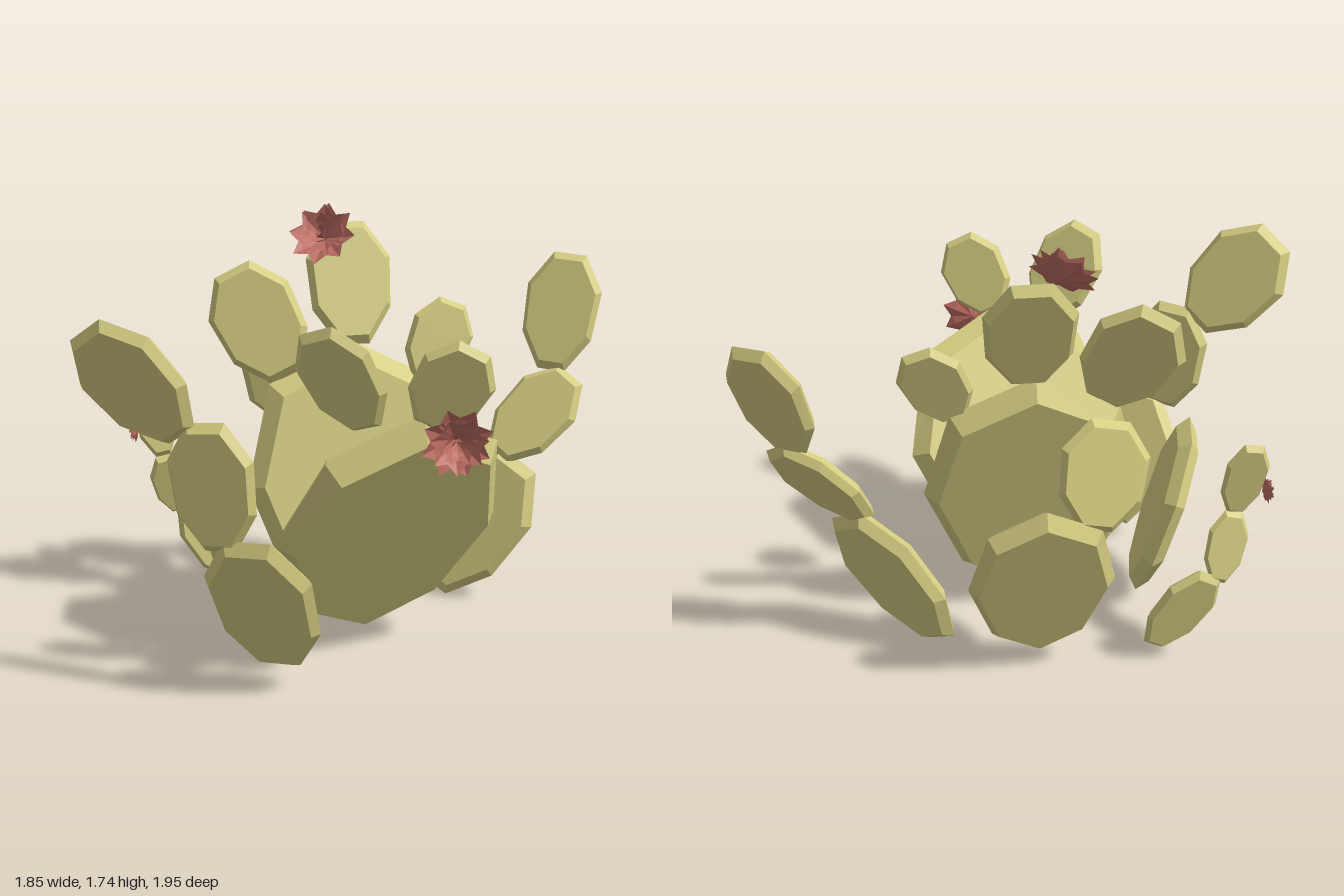
import * as THREE from 'three';

const padMat = new THREE.MeshStandardMaterial({ color: 0xd6ce82, flatShading: true });
padMat.name = 'paleOlive';
const petalMat = new THREE.MeshStandardMaterial({ color: 0xbd6d62, flatShading: true, side: THREE.DoubleSide });
petalMat.name = 'dustyRed';

const rad = THREE.MathUtils.degToRad;

// Eight-sided pad with a bevelled rim, slightly narrower at the base; wider pads are thicker.
// flat: flat edges at top and bottom, otherwise corners there.
function padGeometry(w, h, flat) {
  const profile = [[0, -1], [0.87, -1], [1, 0], [0.87, 1], [0, 1]].map(([r, y]) => new THREE.Vector2(r, y));
  const g = new THREE.LatheGeometry(profile, 8, flat ? Math.PI / 8 : 0);
  g.rotateX(Math.PI / 2);
  const grow = flat ? 1.07 : 1.03;
  g.scale(w * grow, h * grow, 0.01 + 0.135 * w);
  const p = g.attributes.position;
  for (let i = 0; i < p.count; i++) p.setX(i, p.getX(i) * (1 + 0.09 * p.getY(i) / h));
  g.computeVertexNormals();
  return g;
}

// Pad with half width w and half height h; facing, lean and roll are in degrees.
function makePad(name, w, h, facing, lean, roll, flat = true) {
  const pad = new THREE.Mesh(padGeometry(w, h, flat), padMat);
  pad.name = name;
  pad.rotation.set(rad(lean), rad(facing), rad(roll), 'YXZ');
  pad.userData = { w, h, facing };
  return pad;
}

// Pad rising from the ground.
function rootPad(cactus, name, centre, ...shape) {
  const pad = makePad(name, ...shape);
  pad.position.set(...centre);
  cactus.add(pad);
  return pad;
}

// Pad growing from its parent's rim, at an angle clockwise from the parent's tip.
// It faces as its parent does, apart from an extra turn.
function growPad(parent, name, angle, w, h, lean, roll, turn = 0, depth = 0) {
  const from = parent.userData;
  const pad = makePad(name, w, h, from.facing + turn, lean, roll);
  const joint = new THREE.Vector3(
    0.98 * from.w * Math.sin(rad(angle)), 0.98 * from.h * Math.cos(rad(angle)), depth);
  joint.applyEuler(parent.rotation).add(parent.position);
  pad.position.set(0, h, 0).applyEuler(pad.rotation).add(joint);
  parent.parent.add(pad);
  return pad;
}

// Folded, pointed petal running from the origin along +z.
function petalGeometry() {
  const g = new THREE.BufferGeometry();
  g.setAttribute('position', new THREE.Float32BufferAttribute([
    0, 0, 0, 0.32, 0.1, 0.6, 0, 0, 0.62, -0.32, 0.1, 0.6, 0, 0.08, 1,
  ], 3));
  g.setIndex([0, 2, 1, 0, 3, 2, 2, 4, 1, 2, 3, 4]);
  g.computeVertexNormals();
  return g;
}

// Rosette of four petal rings, each smaller and steeper, opening along the given axis.
function makeFlower(name, centre, axis, radius) {
  const flower = new THREE.Group();
  flower.name = name;
  const petal = petalGeometry();
  for (let ring = 0; ring < 4; ring++) {
    const count = 8 - ring;
    for (let i = 0; i < count; i++) {
      const m = new THREE.Mesh(petal, petalMat);
      m.name = 'petal';
      m.rotation.set(-rad(12 + 19 * ring), ((i + ring * 0.5) / count) * Math.PI * 2, 0, 'YXZ');
      m.scale.setScalar(1 - 0.05 * ring * ring);
      flower.add(m);
    }
  }
  flower.scale.setScalar(radius);
  flower.position.set(...centre);
  flower.quaternion.setFromUnitVectors(new THREE.Vector3(0, 1, 0), new THREE.Vector3(...axis).normalize());
  return flower;
}

export function createModel() {
  const cactus = new THREE.Group();
  cactus.name = 'cactus';

  // Large front pad with two small ones on its upper edge
  const front = rootPad(cactus, 'frontLargePad', [0.33, 0.59, 0.275], 0.46, 0.58, 44, 29, 0, false);
  growPad(front, 'frontUpperLeftPad', -24, 0.15, 0.22, 21, 20, -44, -0.06);
  growPad(front, 'frontUpperRightPad', 1, 0.14, 0.18, 12, -28, -30, 0.01);

  // Large centre pad with three on its upper edge
  const centre = rootPad(cactus, 'centreLargePad', [0.06, 0.625, -0.12], 0.435, 0.575, 32, -14, 0, false);
  growPad(centre, 'crownPad', 4, 0.175, 0.26, -20, 0);
  growPad(centre, 'centreSidePad', -38, 0.18, 0.25, -12, 28, -16, 0.01);
  growPad(centre, 'centreSmallPad', 47, 0.13, 0.185, -14, -22, -4, 0.02);

  // Back pair and lone side pad
  const back = rootPad(cactus, 'backPad', [-0.175, 0.47, -0.53], 0.28, 0.42, 34, -19, 0, false);
  growPad(back, 'backUpperPad', -44, 0.165, 0.215, 17, 10);
  rootPad(cactus, 'sidePad', [-0.37, 0.44, 0.25], 0.25, 0.39, -67, 16, 0);

  // Far chain
  const far = rootPad(cactus, 'farChainLowerPad', [0.475, 0.33, -0.56], 0.21, 0.345, -6, -16, -29);
  const farMiddle = growPad(far, 'farChainMiddlePad', -27, 0.15, 0.24, -28, -36, 6, 0.02);
  growPad(farMiddle, 'farChainUpperPad', -35, 0.16, 0.26, -18, -4);

  // Near chain
  const near = rootPad(cactus, 'nearChainLowerPad', [-0.02, 0.385, 0.69], 0.21, 0.32, 2, 22, 4);
  const nearMiddle = growPad(near, 'nearChainMiddlePad', -33, 0.165, 0.25, 2, 5);
  growPad(nearMiddle, 'nearChainUpperPad', -38, 0.19, 0.26, 18, 36, -2, -0.01);

  // Small chain
  const small = rootPad(cactus, 'smallChainLowerPad', [-0.625, 0.255, -0.18], 0.11, 0.215, 34, -10, 30);
  const smallMiddle = growPad(small, 'smallChainMiddlePad', -28, 0.08, 0.15, 14, 14);
  growPad(smallMiddle, 'smallChainUpperPad', 0, 0.085, 0.165, -8, 9);

  // Flowers
  cactus.add(
    makeFlower('crownFlower', [-0.115, 1.61, -0.24], [0, 0.62, 0.78], 0.148),
    makeFlower('frontFlower', [0.64, 1.04, 0.47], [0.45, -0.08, 0.88], 0.142),
    makeFlower('smallFlower', [-0.875, 0.78, 0], [-0.8, 0, 0.6], 0.058),
  );
  return cactus;
}
